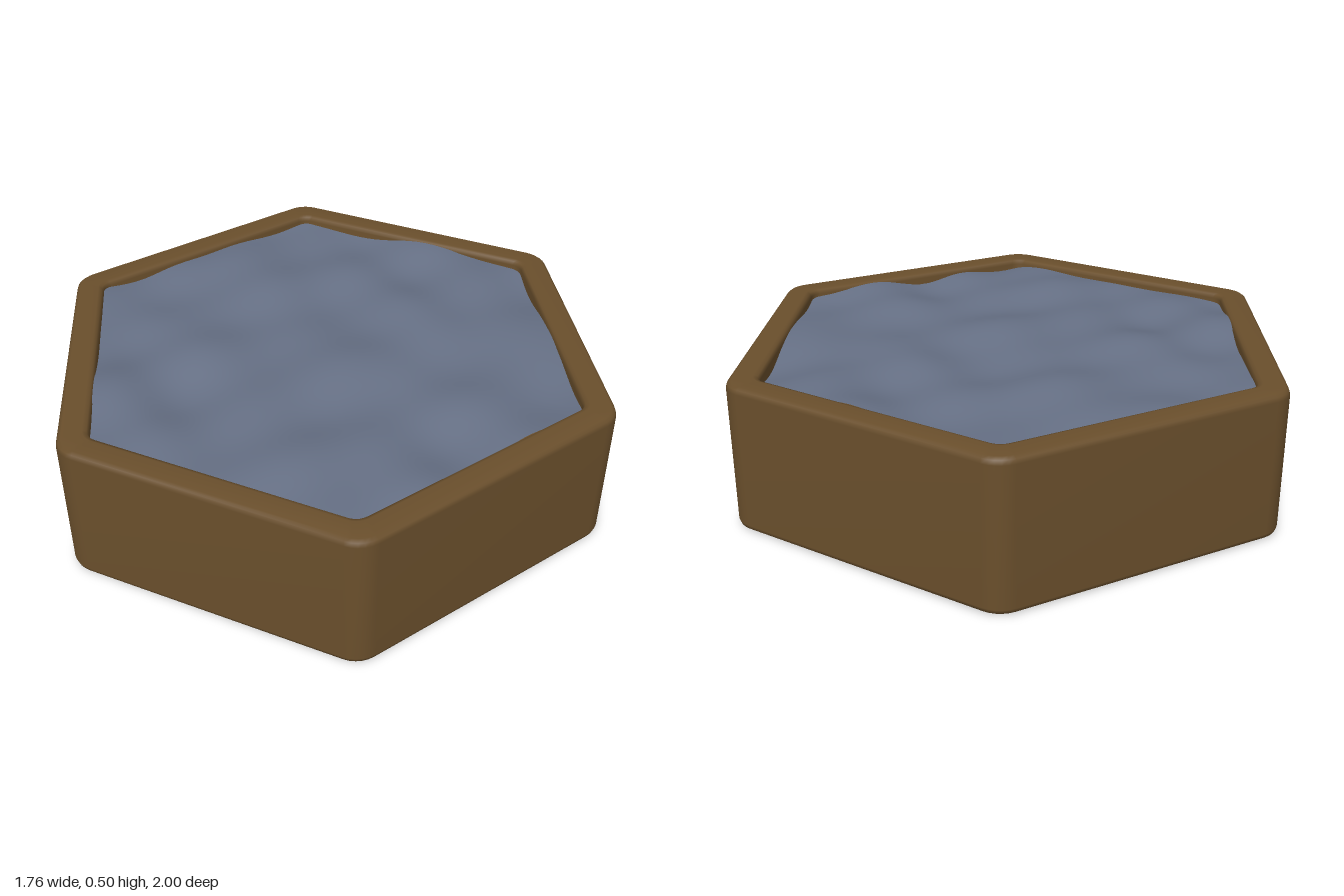
import * as THREE from 'three';
import { mergeVertices } from 'three/addons/utils/BufferGeometryUtils.js';

// Outline of a round-cornered hexagon: apothem ap, corner radius r
function hexOutline(ap, r, cornerSegs, sideSegs) {
  const pts = [];
  const d = (ap - r) / Math.cos(Math.PI / 6);
  const corner = (k, j) => {
    const c = Math.PI / 6 + k * Math.PI / 3;
    const a = c - Math.PI / 6 + (j / cornerSegs) * Math.PI / 3;
    return new THREE.Vector2(d * Math.cos(c) + r * Math.cos(a), d * Math.sin(c) + r * Math.sin(a));
  };
  for (let k = 0; k < 6; k++) {
    for (let j = 0; j <= cornerSegs; j++) pts.push(corner(k, j));
    for (let s = 1; s < sideSegs; s++) pts.push(corner(k, cornerSegs).lerp(corner(k + 1, 0), s / sideSegs));
  }
  return pts;
}

// Skin over a list of hexagon rings [apothem, y, cornerRadius]
function loftHex(rings, cornerSegs, sideSegs, heightAt = (x, y, z) => y) {
  const pos = [], index = [];
  let n = 0;
  rings.forEach(([ap, y, r], i) => {
    const pts = hexOutline(ap, r, cornerSegs, sideSegs);
    n = pts.length;
    pts.forEach((p) => pos.push(p.x, heightAt(p.x, y, p.y), p.y));
    if (i === 0) return;
    for (let j = 0; j < n; j++) {
      const a = (i - 1) * n + j, b = (i - 1) * n + (j + 1) % n;
      index.push(a, a + n, b, b, a + n, b + n);
    }
  });
  let geo = new THREE.BufferGeometry();
  geo.setAttribute('position', new THREE.Float32BufferAttribute(pos, 3));
  geo.setIndex(index);
  geo = mergeVertices(geo, 1e-5);
  geo.computeVertexNormals();
  return geo;
}

// Choppy ripples from a few crossing waves
function ripple(x, y, z) {
  const w = Math.sin(9 * x + 5 * z + 1.5 * Math.sin(6 * z))
    + Math.sin(-6 * x + 11 * z + 1.2 * Math.sin(7 * x + 1))
    + 0.6 * Math.sin(17 * x - 6 * z + 2)
    + 0.5 * Math.sin(8 * x + 19 * z + 4);
  return y + 0.008 * w;
}

export function createModel() {
  const group = new THREE.Group();

  // Tray: bottom, outer wall, rounded rim, inner wall and floor
  const profile = [
    [0, 0.003, 0], [0.85, 0.003, 0.07], [0.864, 0.005, 0.085], [0.875, 0.011, 0.095], [0.88, 0.025, 0.1],
    [0.88, 0.483, 0.1], [0.875, 0.497, 0.095], [0.864, 0.505, 0.085],
    [0.8, 0.505, 0.06], [0.787, 0.501, 0.055], [0.78, 0.488, 0.05],
    [0.78, 0.4, 0.05], [0.77, 0.4, 0.05], [0, 0.4, 0],
  ];
  const tray = new THREE.Mesh(
    loftHex(profile, 5, 1),
    new THREE.MeshStandardMaterial({ color: 0x6a4f2c })
  );
  tray.name = 'hexagonTray';
  group.add(tray);

  // Water: concentric rings from the wall to the middle, moved by the ripples
  const count = 44, rings = [];
  for (let i = 0; i <= count; i++) {
    const t = 1 - i / count;
    rings.push([0.782 * t, 0.477, 0.05 * t]);
  }
  const water = new THREE.Mesh(
    loftHex(rings, 3, 24, ripple),
    new THREE.MeshStandardMaterial({ color: 0x667085 })
  );
  water.name = 'waterSurface';
  group.add(water);

  return group;
}
